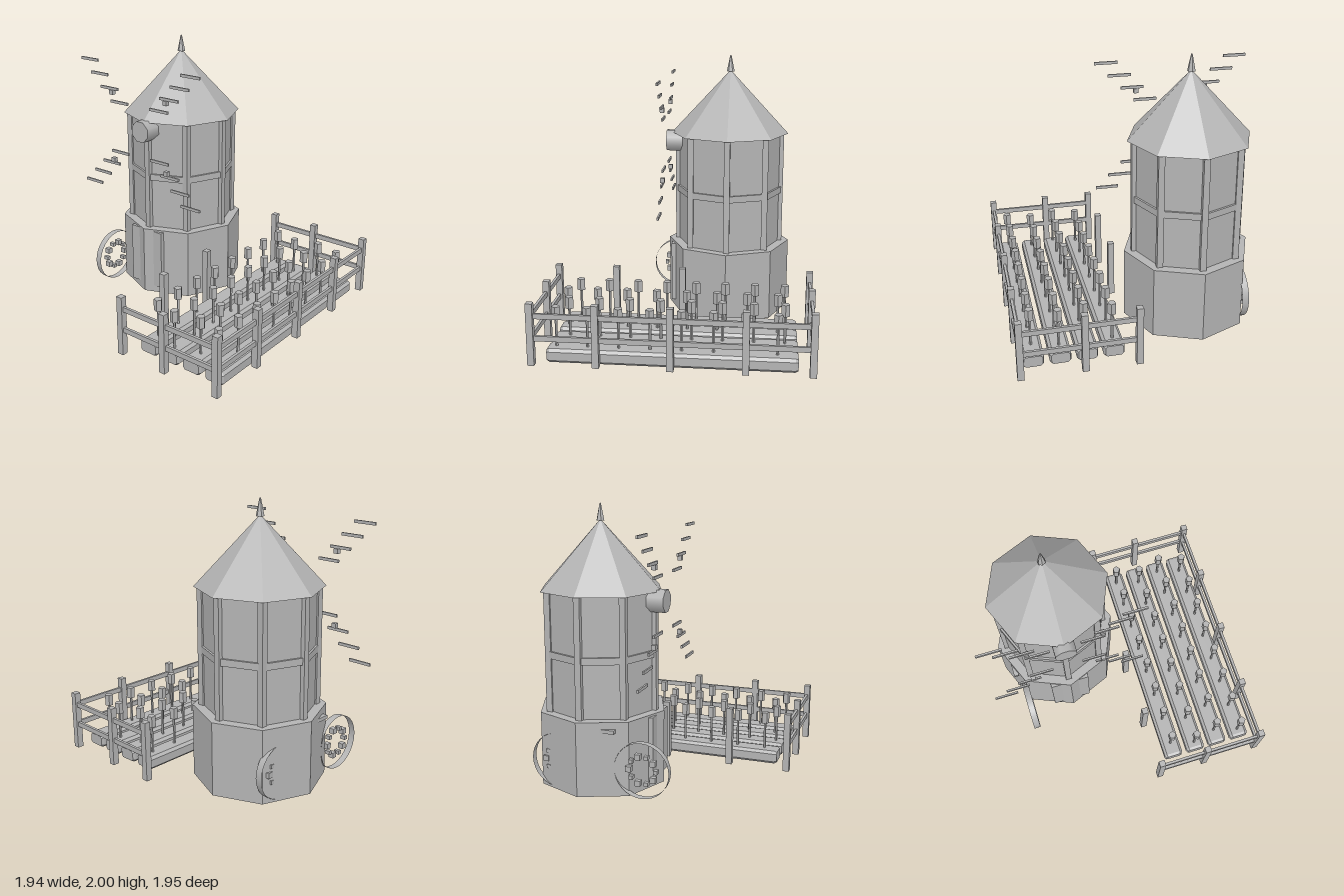
import * as THREE from 'three';

const grey = new THREE.MeshStandardMaterial({ color: 0xb4b4b4, side: THREE.DoubleSide });
grey.name = 'grey';

const TX = -0.39, TZ = -0.32; // tower axis

function add(parent, name, geometry, x = 0, y = 0, z = 0) {
  const mesh = new THREE.Mesh(geometry, grey);
  mesh.name = name;
  mesh.position.set(x, y, z);
  parent.add(mesh);
  return mesh;
}

function group(parent, name, x = 0, y = 0, z = 0) {
  const g = new THREE.Group();
  g.name = name;
  g.position.set(x, y, z);
  parent.add(g);
  return g;
}

const box = (w, h, d) => new THREE.BoxGeometry(w, h, d);

// Faceted cylinder with flat normals, first corner on +z
function prism(rTop, rBottom, height, sides) {
  const g = new THREE.CylinderGeometry(rTop, rBottom, height, sides).toNonIndexed();
  g.computeVertexNormals();
  return g;
}

function buildTower(root) {
  const tower = group(root, 'tower', TX, 0, TZ);
  add(tower, 'base', prism(0.475, 0.475, 0.54, 8), 0, 0.27, 0);
  add(tower, 'body', prism(0.4, 0.4, 0.86, 8), 0, 0.97, 0);
  add(tower, 'roof', prism(0.004, 0.455, 0.485, 8), 0, 1.6425, 0);
  add(tower, 'spire', prism(0.005, 0.03, 0.122, 6), 0, 1.939, 0);
  add(tower, 'door', box(0.305, 0.47, 0.06), 0, 0.29, 0.415);

  // Corner posts and the band across each face
  for (let i = 0; i < 8; i++) {
    const a = i * Math.PI / 4, b = a + Math.PI / 8;
    add(tower, 'cornerPost', box(0.045, 0.86, 0.045), Math.sin(a) * 0.4, 0.97, Math.cos(a) * 0.4);
    const band = add(tower, 'band', box(0.28, 0.05, 0.03), Math.sin(b) * 0.37, 0.955, Math.cos(b) * 0.37);
    band.rotation.y = b;
  }
}

function buildSails(root) {
  const sails = group(root, 'sails', TX, 1.335, 0);
  const hubGeometry = new THREE.CylinderGeometry(0.085, 0.085, 0.21, 8);
  hubGeometry.rotateY(Math.PI / 8).rotateX(Math.PI / 2);
  add(sails, 'hub', hubGeometry, 0, 0, 0.07);

  // Slats stepped along the four diagonals
  for (const sx of [-1, 1]) for (const sy of [-1, 1]) {
    for (let i = 0; i < 4; i++) {
      const d = 0.198 + i * 0.099;
      add(sails, 'slat', box(0.175, 0.021, 0.013), sx * d, sy * d, 0.18);
    }
    add(sails, 'sailBlock', box(0.035, 0.035, 0.032), sx * 0.268, sy * 0.27, 0.18);
  }
}

function buildWheels(root) {
  for (const z of [0.12, -0.51]) {
    const wheel = group(root, 'wheel', -0.74, 0.21, z);
    const rim = new THREE.CylinderGeometry(0.2, 0.2, 0.05, 32, 1, true);
    add(wheel, 'rim', rim.rotateZ(Math.PI / 2));
    // Hub blocks, alternating in size
    for (let i = 0; i < 10; i++) {
      const a = i * Math.PI / 5, s = i % 2 ? 0.04 : 0.028;
      add(wheel, 'hubBlock', box(0.04, s, s), 0, Math.sin(a) * 0.1, Math.cos(a) * 0.1);
    }
  }
  add(root, 'handle', box(0.037, 0.026, 0.19), -0.784, 0.478, -0.16);
}

function buildFence(root) {
  const fence = group(root, 'fence');
  const posts = [
    [0.12, -0.95], [0.5, -0.95], [0.945, -0.95], [0.945, -0.505], [0.945, 0], [0.945, 0.505],
    [0.945, 0.95], [0.5, 0.95], [0.12, 0.95], [0.12, 0.505], [0.12, 0],
  ];
  for (const [x, z] of posts) add(fence, 'fencePost', box(0.047, 0.445, 0.047), x, 0.2225, z);
  for (const y of [0.193, 0.353]) {
    add(fence, 'sideRail', box(0.02, 0.037, 1.9), 0.945, y, 0);
    for (const z of [-0.95, 0.95]) add(fence, 'endRail', box(0.825, 0.037, 0.02), 0.5325, y, z);
  }
}

function buildGarden(root) {
  const garden = group(root, 'garden');
  // Chamfered bed section; the bevel cuts the ends as well
  const w = 0.065, h = 0.04, c = 0.014, bevel = 0.01;
  const section = new THREE.Shape([
    [-w + c, -h], [w - c, -h], [w, -h + c], [w, h - c],
    [w - c, h], [-w + c, h], [-w, h - c], [-w, -h + c],
  ].map(([x, y]) => new THREE.Vector2(x, y)));
  const bedGeometry = new THREE.ExtrudeGeometry(section, {
    depth: 1.67, bevelEnabled: true, bevelSize: bevel, bevelThickness: 0.02, bevelSegments: 1,
  });
  bedGeometry.translate(0, 0, -0.835);
  const stalk = prism(0.01, 0.01, 0.24, 5).rotateY(Math.PI / 2);
  const head = prism(0.031, 0.031, 0.085, 5).rotateY(Math.PI / 2);

  // Four rows, with plants staggered between neighbours
  for (let row = 0; row < 4; row++) {
    const x = 0.275 + row * 0.19;
    add(garden, 'bed', bedGeometry, x, 0.053, 0);
    for (let i = 0; i < 8; i++) {
      const z = -0.765 + i * 0.2157 + (row % 2) * 0.05;
      const plant = group(garden, 'plant', x, 0, z);
      add(plant, 'stalk', stalk, 0, 0.2, 0);
      add(plant, 'flowerHead', head, 0, 0.3475, 0);
    }
  }
}

export function createModel() {
  const root = new THREE.Group();
  root.name = 'windmillAndGarden';
  buildTower(root);
  buildSails(root);
  buildWheels(root);
  buildFence(root);
  buildGarden(root);
  return root;
}
